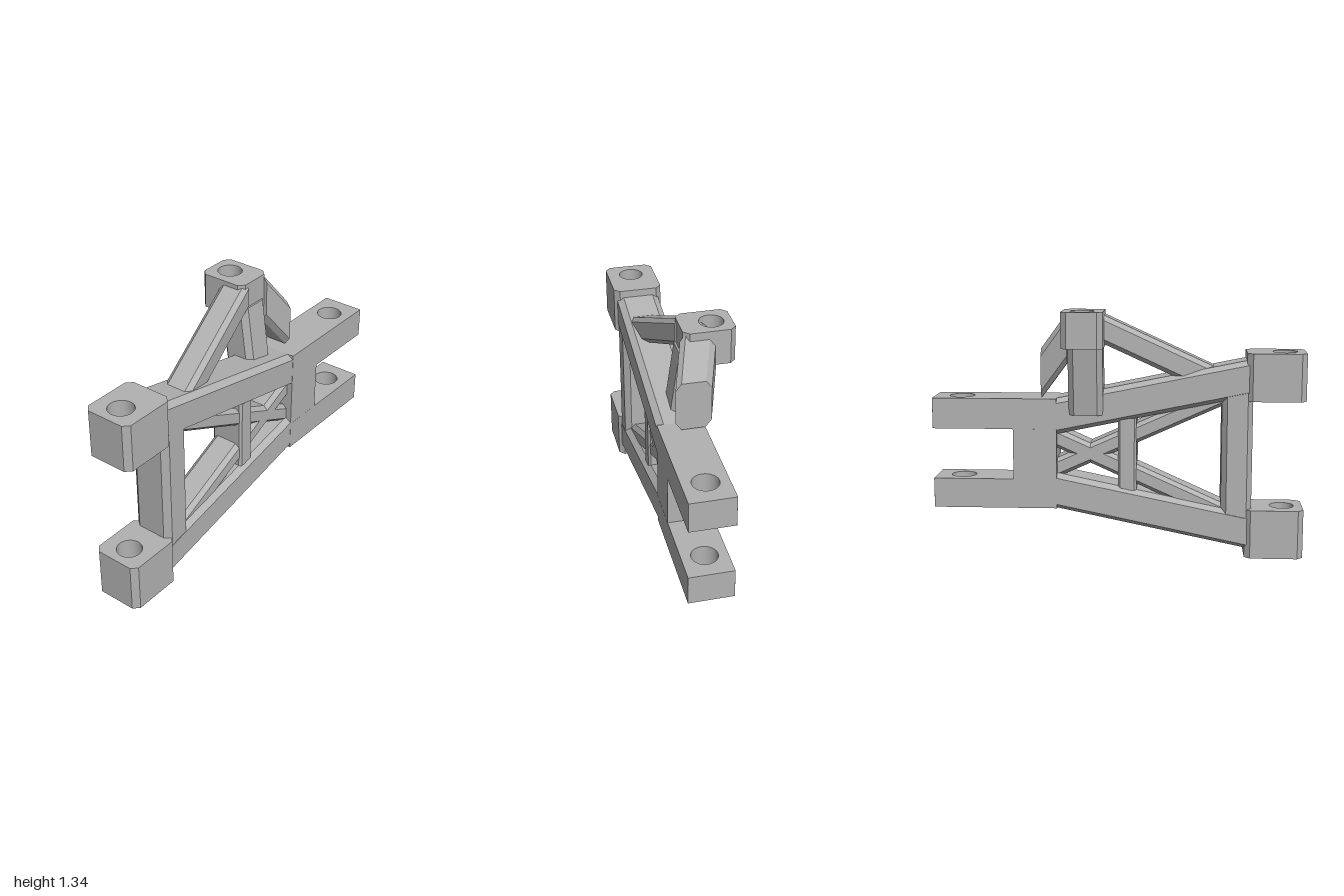
import * as THREE from 'three';
import { toCreasedNormals } from 'three/addons/utils/BufferGeometryUtils.js';

// Corner loop of a w x h rectangle with corners cut by cu, cv
function chamferedLoop(w, h, cu, cv = cu) {
  const a = w / 2, b = h / 2;
  return [[a, -b + cv], [a, b - cv], [a - cu, b], [-a + cu, b],
    [-a, b - cv], [-a, -b + cv], [-a + cu, -b], [a - cu, -b]];
}

// Sheared bar: the same section in the plane across the axis at both ends
function barGeometry(from, to, loop, axis) {
  const k = axis === 'z' ? 2 : 1;
  const u = (k + 1) % 3, v = (k + 2) % 3;
  const ends = from[k] < to[k] ? [from, to] : [to, from];
  const pos = [];
  for (const end of ends) {
    for (const [du, dv] of loop) {
      const p = [...end];
      p[u] += du;
      p[v] += dv;
      pos.push(...p);
    }
  }
  const n = loop.length, index = [];
  for (let i = 0; i < n; i++) {
    const j = (i + 1) % n;
    index.push(i, j, n + j, i, n + j, n + i);
    if (i > 0 && i < n - 1) index.push(n, n + i, n + i + 1, 0, i + 1, i);
  }
  const indexed = new THREE.BufferGeometry();
  indexed.setAttribute('position', new THREE.Float32BufferAttribute(pos, 3));
  indexed.setIndex(index);
  const geometry = indexed.toNonIndexed();
  geometry.computeVertexNormals();
  return geometry;
}

// Upright block with a vertical bolt hole
function drilledGeometry(x0, x1, y0, y1, z0, z1, chamfer, hole) {
  const cx = (x0 + x1) / 2, cz = (z0 + z1) / 2;
  const points = chamferedLoop(x1 - x0, z1 - z0, chamfer)
    .map(([x, y]) => new THREE.Vector2(cx + x, y - cz));
  const shape = new THREE.Shape(points);
  const bore = new THREE.Path();
  bore.absarc(hole[0], -hole[1], hole[2], 0, Math.PI * 2, true);
  shape.holes.push(bore);
  const geometry = new THREE.ExtrudeGeometry(shape, { depth: y1 - y0, bevelEnabled: false, curveSegments: 20 });
  geometry.rotateX(-Math.PI / 2).translate(0, y0, 0);
  return toCreasedNormals(geometry, 0.5);
}

export function createModel() {
  const model = new THREE.Group();
  model.name = 'bracketFrame';
  const grey = new THREE.MeshStandardMaterial({ color: 0xb2b2b2 });
  grey.name = 'grey';
  const add = (name, geometry) => {
    const mesh = new THREE.Mesh(geometry, grey);
    mesh.name = name;
    model.add(mesh);
    return mesh;
  };
  const bar = (name, from, to, loop, axis = 'z') => add(name, barGeometry(from, to, loop, axis));
  const mid = 0.082;

  // Front mounting blocks
  const frontHole = [mid, 0.89, 0.066];
  add('lowerFrontBlock', drilledGeometry(-0.053, 0.215, 0, 0.265, 0.685, 1, 0.03, frontHole));
  add('upperFrontBlock', drilledGeometry(-0.053, 0.215, 0.855, 1.11, 0.685, 1, 0.03, frontHole));

  // Rear fork: two drilled tines joined by a web
  const rearHole = [mid, -0.855, 0.068];
  add('lowerTine', drilledGeometry(-0.035, 0.2, 0.26, 0.42, -1, -0.33, 0.0005, rearHole));
  add('upperTine', drilledGeometry(-0.035, 0.2, 0.695, 0.86, -1, -0.33, 0.0005, rearHole));
  const web = add('forkWeb', new THREE.BoxGeometry(0.235, 0.275, 0.235));
  web.position.set(mid, 0.5575, -0.4475);

  // Long beams converging on the fork
  const beam = chamferedLoop(0.234, 0.195, 0.034, 0.025);
  bar('upperBeam', [mid, 0.975, 0.7], [mid, 0.762, -0.335], beam);
  bar('lowerBeam', [mid, 0.142, 0.7], [mid, 0.355, -0.335], beam);

  // Front post
  bar('frontPost', [mid, 0.15, 0.638], [mid, 0.97, 0.638], chamferedLoop(0.165, 0.23, 0.028, 0.034), 'y');

  // Crossed braces and their upright
  const brace = chamferedLoop(0.17, 0.108, 0.025, 0.022);
  for (const side of [1, -1]) {
    bar(side > 0 ? 'fallingBrace' : 'risingBrace',
      [mid, 0.558 + side * 0.338, 0.6], [mid, 0.558 - side * 0.09, -0.35], brace);
  }
  bar('middleUpright', [mid, 0.36, 0.05], [mid, 0.755, 0.05], chamferedLoop(0.1, 0.19, 0.012), 'y');

  // Offset top mount
  add('topMount', drilledGeometry(-0.22, 0.05, 1.145, 1.335, -0.287, -0.068, 0.03, [-0.115, -0.18, 0.064]));

  // Arms carrying the top mount
  bar('frontArm', [0.09, 0.957, 0.51], [-0.023, 1.257, -0.115], chamferedLoop(0.16, 0.152, 0.026, 0.026));
  bar('rearArm', [0.028, 0.998, -0.407], [-0.028, 1.193, -0.262], chamferedLoop(0.185, 0.265, 0.03, 0.04));
  bar('rearArmHead', [-0.028, 1.193, -0.262], [-0.03, 1.24, -0.13], chamferedLoop(0.15, 0.13, 0.026));
  bar('mountStrut', [0.03, 0.775, -0.17], [-0.03, 1.2, -0.17], chamferedLoop(0.185, 0.18, 0.03), 'y');

  return model;
}
